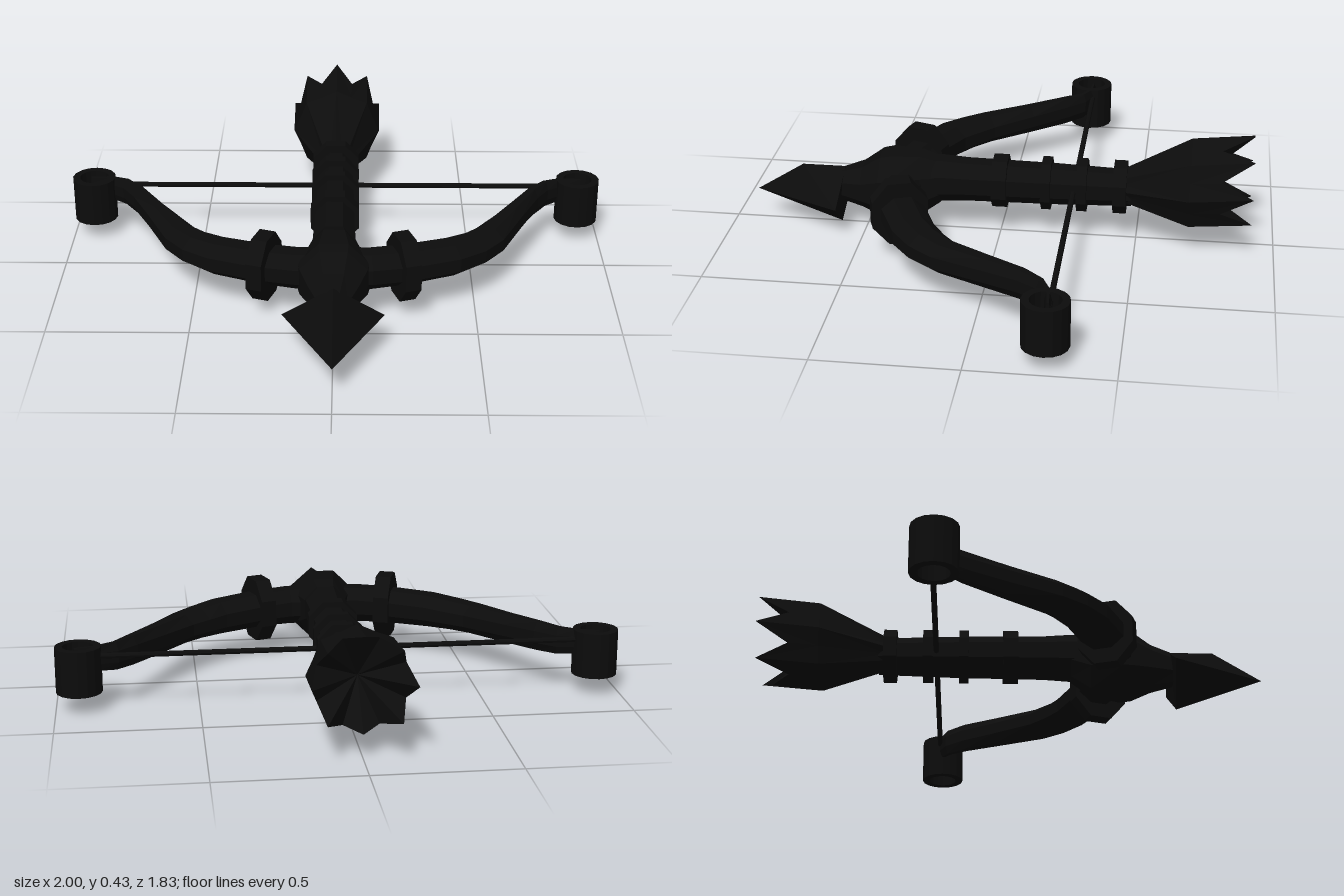
import * as THREE from 'three';

const material = new THREE.MeshStandardMaterial({ color: 0x0c0c0c, flatShading: true, side: THREE.DoubleSide });

function add(parent, name, geometry) {
  const mesh = new THREE.Mesh(geometry, material);
  mesh.name = name;
  parent.add(mesh);
  return mesh;
}

function meshFrom(positions, index) {
  const g = new THREE.BufferGeometry();
  g.setAttribute('position', new THREE.Float32BufferAttribute(positions, 3));
  g.setIndex(index);
  const flat = g.toNonIndexed();
  flat.computeVertexNormals();
  return flat;
}

// Skin eight-sided sections [x, y, z, halfWidth, halfHeight] along a level path
function loft(sections) {
  const n = 8, k = 1 / Math.cos(Math.PI / n), pos = [], idx = [];
  const last = sections.length - 1;
  sections.forEach(([x, y, z, w, h], i) => {
    const a = sections[Math.max(0, i - 1)], b = sections[Math.min(last, i + 1)];
    const t = new THREE.Vector2(b[0] - a[0], b[2] - a[2]).normalize();
    for (let j = 0; j < n; j++) {
      const u = (j + 0.5) / n * Math.PI * 2, c = Math.cos(u) * w * k, s = Math.sin(u) * h * k;
      pos.push(x + t.y * c, y + s, z - t.x * c);
    }
  });
  for (let i = 0; i < last; i++) {
    for (let j = 0; j < n; j++) {
      const a = i * n + j, b = i * n + (j + 1) % n;
      idx.push(a, b, a + n, b, b + n, a + n);
    }
  }
  for (let j = 1; j < n - 1; j++) {
    idx.push(0, j + 1, j, last * n, last * n + j, last * n + j + 1);
  }
  return meshFrom(pos, idx);
}

// Eight pointed feathers flaring out from the end of the shaft
function featherGeometry() {
  const pos = [], idx = [], n = 16;
  const ring = (point) => {
    for (let j = 0; j < n; j++) {
      const a = Math.PI / 2 + j / n * Math.PI * 2;
      const [r, cy, z] = point(j % 2 === 0, Math.sin(a));
      pos.push(Math.cos(a) * r, cy + Math.sin(a) * r, z);
    }
  };
  ring((ridge) => [ridge ? 0.065 : 0.055, 0.215, -0.45]);
  ring((ridge) => [ridge ? 0.17 : 0.155, 0.24, -0.69]);
  ring((ridge, s) => ridge ? [0.172, 0.262, s < -0.9 ? -0.86 : -0.915] : [0.158, 0.25, -0.8]);
  for (let i = 0; i < 2; i++) {
    for (let j = 0; j < n; j++) {
      const a = i * n + j, b = i * n + (j + 1) % n;
      // split every quad so the feather ridges stay symmetric
      if (j % 2 === 0) idx.push(a, a + n, b, b, a + n, b + n);
      else idx.push(a, b + n, b, a, a + n, b + n);
    }
  }
  pos.push(0, 0.24, -0.7);
  for (let j = 0; j < n; j++) idx.push(2 * n + j, 3 * n, 2 * n + (j + 1) % n);
  return meshFrom(pos, idx);
}

function arrowheadGeometry() {
  const pos = [
    0, 0.12, 0.915, 0, 0.23, 0.74, 0, 0.23, 0.58,
    0.175, 0.13, 0.585, -0.175, 0.13, 0.585, 0, 0.005, 0.6,
  ];
  return meshFrom(pos, [
    0, 3, 1, 3, 2, 1, 0, 5, 3, 0, 1, 4, 4, 1, 2, 0, 4, 5, 2, 3, 5, 2, 5, 4,
  ]);
}

export function createModel() {
  const model = new THREE.Group();
  model.name = 'crossbow';

  // Shaft and its raised bands
  add(model, 'shaft', loft([
    [0, 0.205, -0.48, 0.06, 0.062], [0, 0.205, -0.2, 0.068, 0.07],
    [0, 0.205, 0.12, 0.072, 0.074], [0, 0.205, 0.21, 0.075, 0.08], [0, 0.2, 0.32, 0.078, 0.085],
  ]));
  for (const [z, length] of [[0, 0.055], [-0.17, 0.035], [-0.3, 0.037], [-0.438, 0.048]]) {
    add(model, 'shaftBand', loft([
      [0, 0.207, z - length / 2, 0.088, 0.09], [0, 0.207, z + length / 2, 0.088, 0.09],
    ]));
  }

  // Hub tapering into the point
  add(model, 'hub', loft([
    [0, 0.2, 0.22, 0.072, 0.08], [0, 0.185, 0.29, 0.09, 0.115], [0, 0.177, 0.4, 0.125, 0.125],
    [0, 0.175, 0.44, 0.118, 0.118], [0, 0.165, 0.51, 0.088, 0.08], [0, 0.16, 0.6, 0.05, 0.055],
  ]));
  add(model, 'arrowhead', arrowheadGeometry());
  add(model, 'feathers', featherGeometry());

  // Curved limbs as one continuous bow
  const half = [
    [0.13, 0.185, 0.357, 0.073, 0.066], [0.25, 0.183, 0.325, 0.077, 0.063],
    [0.41, 0.177, 0.255, 0.076, 0.06], [0.49, 0.174, 0.195, 0.073, 0.055],
    [0.555, 0.174, 0.125, 0.064, 0.053], [0.65, 0.18, -0.03, 0.043, 0.053],
    [0.735, 0.187, -0.165, 0.028, 0.053], [0.79, 0.188, -0.232, 0.02, 0.05],
    [0.85, 0.19, -0.262, 0.014, 0.045], [0.93, 0.19, -0.268, 0.008, 0.04],
  ];
  const mirrored = half.map(([x, ...rest]) => [-x, ...rest]).reverse();
  add(model, 'bowLimbs', loft([...mirrored, ...half]));

  // Clamps and end rings on both sides
  const ringProfile = [[0.054, 0.07], [0.081, 0.07], [0.081, 0.235], [0.054, 0.235], [0.054, 0.07]]
    .map(([r, y]) => new THREE.Vector2(r, y));
  for (const side of [1, -1]) {
    const name = side > 0 ? 'left' : 'right';
    const clamp = add(model, name + 'Clamp', loft([
      [0, 0, -0.029, 0.1, 0.117], [0, 0, 0.029, 0.1, 0.117],
    ]));
    clamp.position.set(side * 0.245, 0.183, 0.335);
    clamp.rotation.y = side * (Math.PI / 2 + 0.33);
    const ring = add(model, name + 'EndRing', new THREE.LatheGeometry(ringProfile, 16));
    ring.position.set(side * 0.917, 0, -0.26);
  }

  // Bowstring
  const string = add(model, 'bowstring', new THREE.CylinderGeometry(0.01, 0.01, 1.86, 8));
  string.rotation.z = Math.PI / 2;
  string.position.set(0, 0.2, -0.27);
  return model;
}
